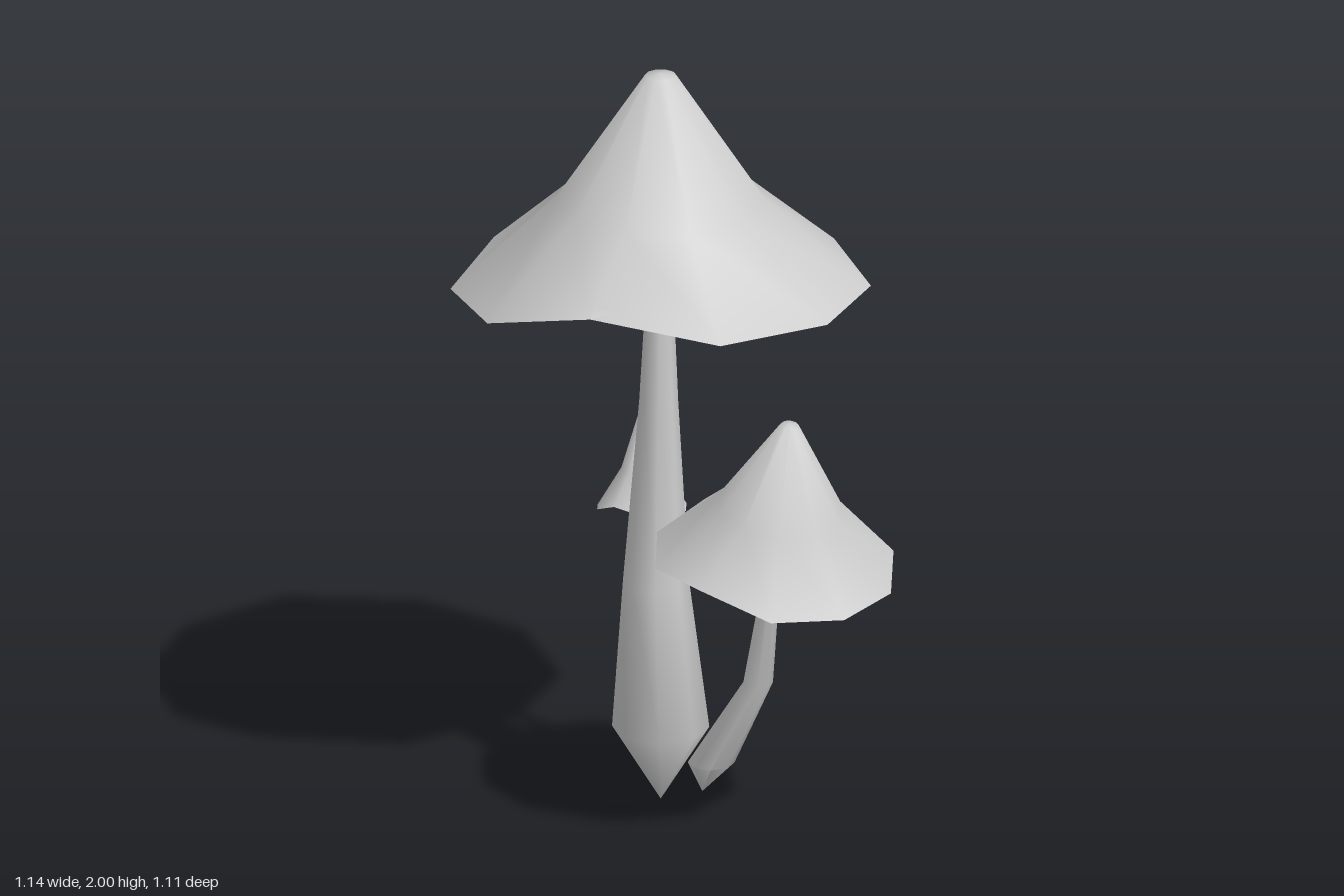
import * as THREE from 'three';
import { mergeVertices, toCreasedNormals } from 'three/addons/utils/BufferGeometryUtils.js';

const material = new THREE.MeshStandardMaterial({ color: 0xcccccc, side: THREE.DoubleSide });

// Lathe whose vertices are moved by a rule, welded and smoothed below the crease angle
function bentLathe(profile, sides, rule) {
  const geo = new THREE.LatheGeometry(profile.map(([r, y]) => new THREE.Vector2(r, y)), sides);
  const pos = geo.attributes.position;
  const v = new THREE.Vector3();
  for (let i = 0; i < pos.count; i++) {
    v.fromBufferAttribute(pos, i);
    rule(v, i % profile.length);
    pos.setXYZ(i, v.x, v.y, v.z);
  }
  geo.deleteAttribute('uv');
  geo.deleteAttribute('normal');
  return toCreasedNormals(mergeVertices(geo, 1e-4), 1.0);
}

// Stem through sections [x, y, z, radius], from the pointed foot up
function makeStem(sections) {
  const geo = bentLathe(sections.map(([, y, , r]) => [r, y]), 8, (v, ring) => {
    v.x += sections[ring][0];
    v.z += sections[ring][2];
  });
  const mesh = new THREE.Mesh(geo, material);
  mesh.name = 'stem';
  return mesh;
}

// Height of each rim corner, going from +x towards +z
const WAVE = [-0.01, 0.005, 0.02, 0.09, 0, -0.03, -0.01, 0.025, -0.01, -0.005];

// Ten-sided cap with a wavy rim, a shallow underside and a blunt tip
function makeCap({ base, axis, radius, height, knee, spin = 0, wave = 1 }) {
  const profile = [
    [0, height * 0.04],
    [radius * 0.92, height * 0.04],
    [radius, 0],
    [radius * knee, height * 0.395],
    [radius * 0.075, height * 0.992],
    [0, height],
  ];
  const geo = bentLathe(profile, 10, (v, ring) => {
    // Turn the lathe so that a corner lies on +x
    const r = Math.hypot(v.x, v.z);
    const step = Math.round(Math.atan2(v.x, v.z) / (Math.PI / 5));
    const k = (step + 10) % 10;
    const a = k * Math.PI / 5;
    v.x = r * Math.cos(a);
    v.z = -r * Math.sin(a);
    if (ring === 1 || ring === 2) v.y += WAVE[(10 - k) % 10] * wave;
  });
  geo.rotateY(-spin);
  const mesh = new THREE.Mesh(geo, material);
  mesh.name = 'cap';
  mesh.position.set(...base);
  mesh.quaternion.setFromUnitVectors(
    new THREE.Vector3(0, 1, 0), new THREE.Vector3(...axis).normalize());
  return mesh;
}

const MUSHROOMS = [
  {
    name: 'tallMushroom',
    stem: [
      [-0.04, 0, -0.045, 0], [-0.04, 0.2, -0.045, 0.125], [-0.052, 0.6, -0.05, 0.085],
      [-0.045, 1.1, -0.045, 0.05], [-0.042, 1.47, -0.045, 0.032],
    ],
    cap: { base: [-0.04, 1.43, -0.045], axis: [0, 1, 0], radius: 0.54, height: 0.57, knee: 0.5 },
  },
  {
    name: 'middleMushroom',
    stem: [
      [0.07, 0.065, 0.065, 0], [0.093, 0.15, 0.078, 0.06],
      [0.215, 0.39, 0.122, 0.038], [0.262, 0.8, 0.235, 0.018],
    ],
    cap: {
      base: [0.26, 0.775, 0.24], axis: [0.1, 0.97, 0.2], radius: 0.32, height: 0.415,
      knee: 0.5, spin: 0.31, wave: 0.55,
    },
  },
  {
    name: 'smallMushroom',
    stem: [
      [-0.015, 0.065, -0.155, 0], [-0.025, 0.14, -0.178, 0.044],
      [-0.065, 0.38, -0.23, 0.026], [-0.095, 0.73, -0.292, 0.013],
    ],
    cap: {
      base: [-0.095, 0.712, -0.287], axis: [0, 1, -0.11], radius: 0.12, height: 0.25,
      knee: 0.46, spin: 0.3, wave: 0.25,
    },
  },
];

export function createModel() {
  const model = new THREE.Group();
  model.name = 'mushroomCluster';
  for (const { name, stem, cap } of MUSHROOMS) {
    const mushroom = new THREE.Group();
    mushroom.name = name;
    mushroom.add(makeStem(stem), makeCap(cap));
    model.add(mushroom);
  }
  return model;
}
